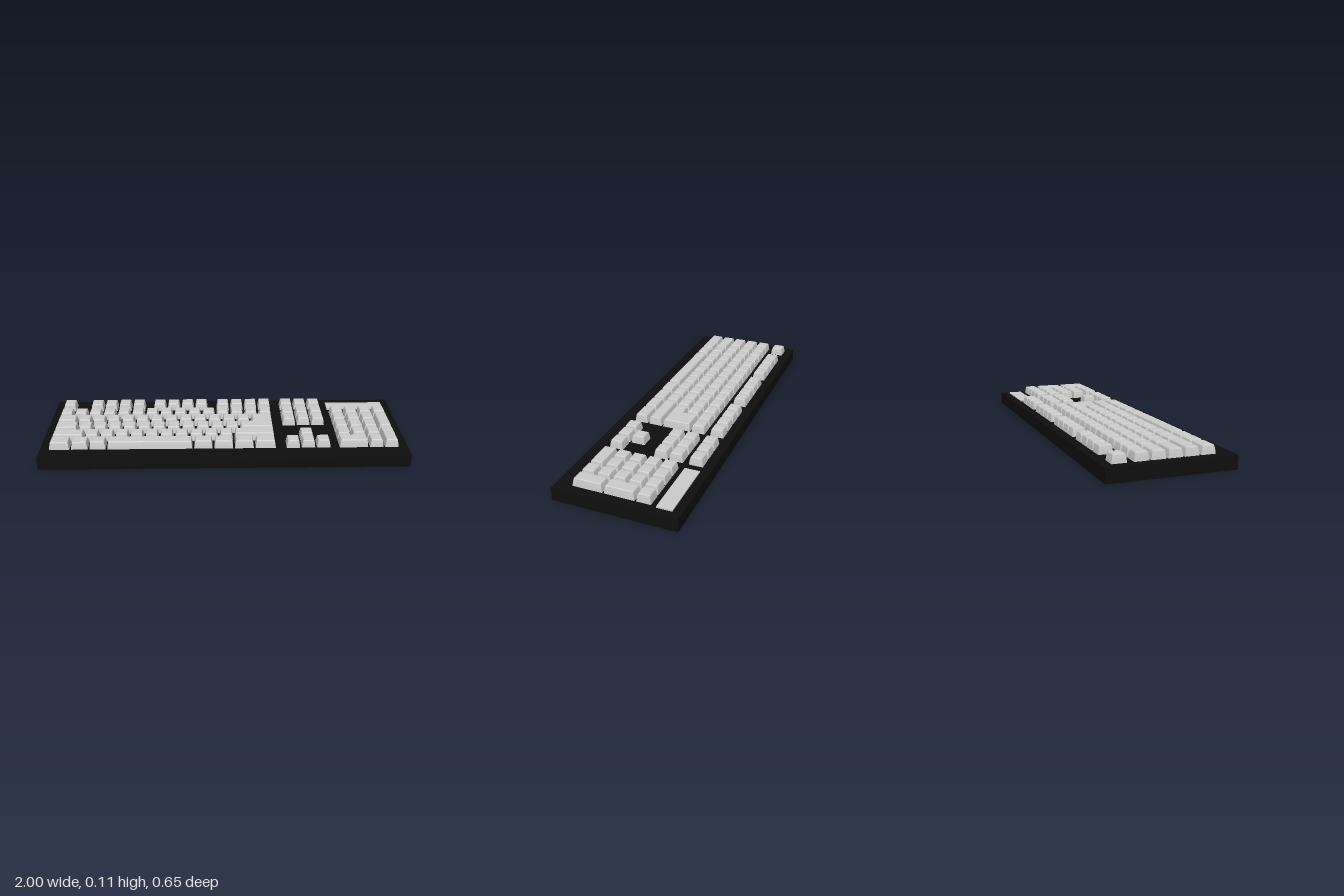
import * as THREE from 'three';

const U = 0.0825;          // key pitch across
const ROW = 0.083;         // key pitch in depth
const LEFT = -0.953;       // left edge of the key field
const GAP = 0.0045;        // clearance round each key
const DECK = 0.07;         // top of the case
const ROW_Z = [-0.2385, -0.132, -0.049, 0.034, 0.117, 0.2];

// Key side profile: [height, inset from the outline]
const PROFILE = [[DECK - 0.002, 0], [0.09, 0.0028], [0.107, 0.006], [0.112, 0.0078], [0.1138, 0.0105]];

// Move every side of a right-angled [x, z] outline inwards by d
function inset(outline, d) {
  const n = outline.length;
  return outline.map(([x, z], i) => {
    const [px, pz] = outline[(i + n - 1) % n];
    const [nx, nz] = outline[(i + 1) % n];
    const a = [Math.sign(x - px), Math.sign(z - pz)];
    const b = [Math.sign(nx - x), Math.sign(nz - z)];
    return [x - d * (a[1] + b[1]), z + d * (a[0] + b[0])];
  });
}

// Tapered cap lofted through inset copies of its outline
function keyGeometry(outline) {
  const n = outline.length;
  const positions = [];
  const index = [];
  for (const [y, d] of PROFILE) {
    for (const [x, z] of inset(outline, d)) positions.push(x, y, z);
  }
  for (let r = 0; r < PROFILE.length - 1; r++) {
    for (let i = 0; i < n; i++) {
      const a = r * n + i, b = r * n + (i + 1) % n;
      index.push(a, a + n, b, b, a + n, b + n);
    }
  }
  const top = (PROFILE.length - 1) * n;
  const flat = outline.map(([x, z]) => new THREE.Vector2(x, z));
  for (const [a, b, c] of THREE.ShapeUtils.triangulateShape(flat, [])) {
    // Keep the top face turned upwards
    const up = (flat[b].x - flat[a].x) * (flat[c].y - flat[a].y) - (flat[b].y - flat[a].y) * (flat[c].x - flat[a].x) < 0;
    index.push(top + a, top + (up ? b : c), top + (up ? c : b));
  }
  const indexed = new THREE.BufferGeometry();
  indexed.setAttribute('position', new THREE.Float32BufferAttribute(positions, 3));
  indexed.setIndex(index);
  const geometry = indexed.toNonIndexed();
  geometry.computeVertexNormals();
  return geometry;
}

export function createModel() {
  const model = new THREE.Group();
  model.name = 'keyboard';
  const grey = new THREE.MeshStandardMaterial({ color: 0xcccccc, flatShading: true });
  const black = new THREE.MeshStandardMaterial({ color: 0x0e0e0e });

  const addBox = (name, w, h, d, x, y, z, material) => {
    const mesh = new THREE.Mesh(new THREE.BoxGeometry(w, h, d), material);
    mesh.name = name;
    mesh.position.set(x, y, z);
    model.add(mesh);
  };
  const addGroup = (name) => {
    const group = new THREE.Group();
    group.name = name;
    model.add(group);
    return group;
  };
  const addKey = (group, name, outline) => {
    const mesh = new THREE.Mesh(keyGeometry(outline), grey);
    mesh.name = name;
    group.add(mesh);
  };
  const columnX = (u) => LEFT + u * U;
  const rowFront = (row) => ROW_Z[row] + ROW / 2 - GAP;
  const rowBack = (row) => ROW_Z[row] - ROW / 2 + GAP;

  // Rectangular key: start and width in key units, covering one or more rows
  const key = (group, start, width, row, rows = 1, name = 'key') => {
    const x0 = columnX(start) + GAP, x1 = columnX(start + width) - GAP;
    const z0 = rowBack(row), z1 = rowFront(row + rows - 1);
    addKey(group, name, [[x0, z0], [x1, z0], [x1, z1], [x0, z1]]);
  };
  const run = (group, start, row, widths) => {
    let u = start;
    for (const w of widths) {
      key(group, u, w, row);
      u += w;
    }
  };
  const singles = (count) => Array(count).fill(1);

  // Case and indicator panel
  addBox('case', 2, DECK, 0.648, 0, DECK / 2, 0, black);
  addBox('indicatorPanel', 0.336, 0.008, 0.08, 0.789, DECK + 0.003, -0.238, grey);

  // Top row: one lone key and three groups of four
  const topRowKeys = addGroup('topRowKeys');
  key(topRowKeys, 0, 1, 0);
  for (const start of [1.97, 6.47, 11.02]) run(topRowKeys, start, 0, singles(4));

  // Main block
  const mainKeys = addGroup('mainKeys');
  run(mainKeys, 0, 1, singles(15));
  run(mainKeys, 0, 2, [1.42, ...singles(12)]);
  run(mainKeys, 0, 3, [1.62, ...singles(11)]);
  run(mainKeys, 0, 4, [2.2, ...singles(10), 2.8]);
  run(mainKeys, 0, 5, [1.43, 1.2, 1.17, 5.7, 1.33, 1.36, 1.36, 1.45]);

  // L-shaped enter key
  const right = columnX(15) - GAP;
  const upper = columnX(13.42) + GAP;
  const lower = columnX(12.62) + GAP;
  addKey(mainKeys, 'enterKey', [
    [upper, rowBack(2)], [right, rowBack(2)], [right, rowFront(3)],
    [lower, rowFront(3)], [lower, rowBack(3)], [upper, rowBack(3)],
  ]);

  // Navigation block and arrows
  const navigationKeys = addGroup('navigationKeys');
  for (const row of [0, 1, 2]) run(navigationKeys, 15.6, row, singles(3));
  const arrowKeys = addGroup('arrowKeys');
  key(arrowKeys, 16.6, 1, 4);
  run(arrowKeys, 15.6, 5, singles(3));

  // Number pad with two tall keys on its right
  const numberPad = addGroup('numberPad');
  run(numberPad, 19.1, 1, singles(4));
  for (const row of [2, 3, 4]) run(numberPad, 19.1, row, singles(3));
  run(numberPad, 19.1, 5, [2, 1]);
  key(numberPad, 22.1, 1, 2, 2, 'tallKey');
  key(numberPad, 22.1, 1, 4, 2, 'tallKey');

  return model;
}
